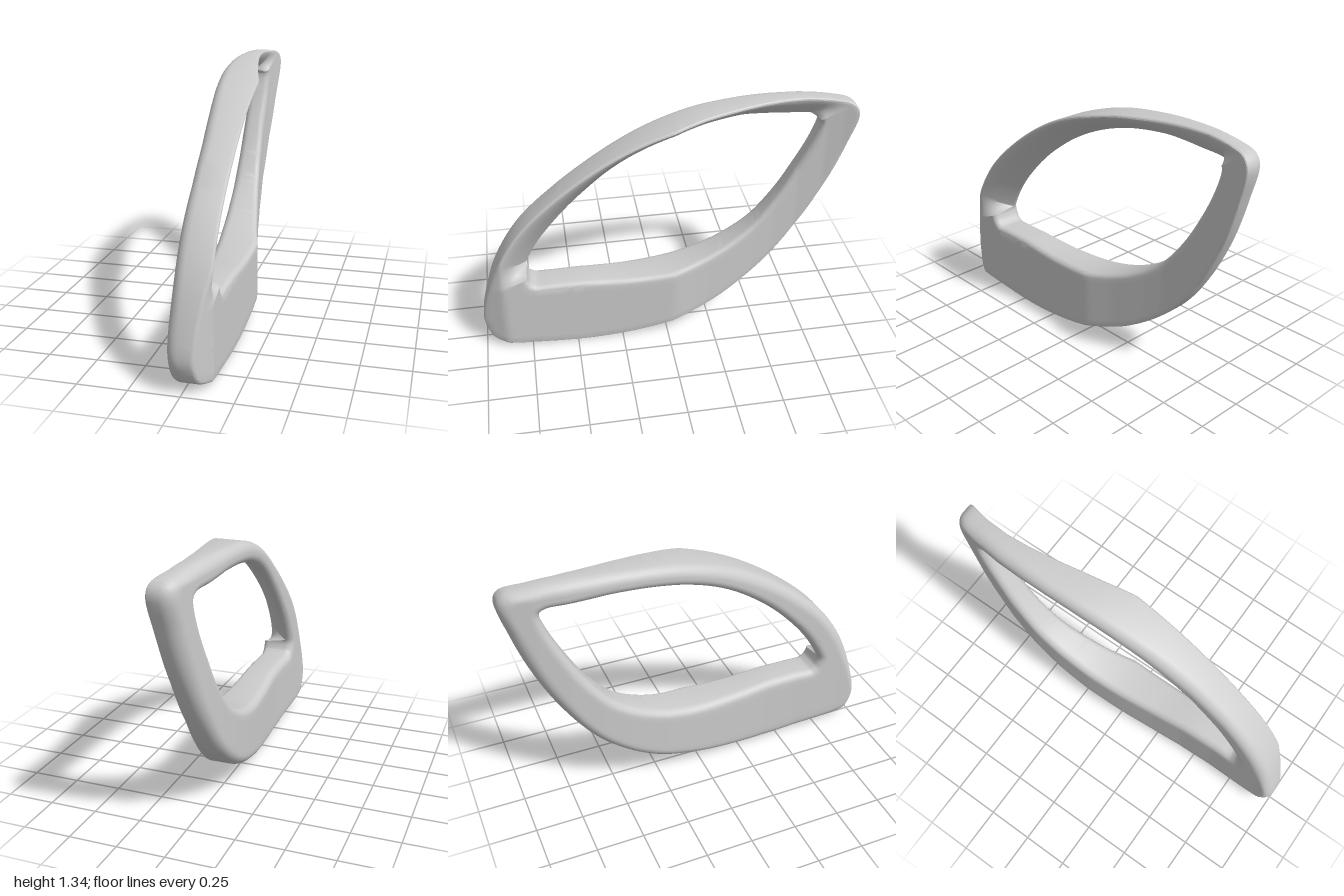
import * as THREE from 'three';
import { toCreasedNormals } from 'three/addons/utils/BufferGeometryUtils.js';

// Paired outlines around the frame: outer z, outer y, inner z, inner y, slanted (1) or flat (0) section
const OUTLINE = [
  // lower front corner
  [0.98, 0.09, 0.73, 0.42, 0], [1, 0.17, 0.74, 0.44, 0], [0.96, 0.37, 0.745, 0.46, 0],
  // upper arch
  [0.89, 0.56, 0.742, 0.48, 1], [0.755, 0.77, 0.65, 0.64, 1], [0.5, 1.0, 0.43, 0.88, 1],
  [0.2, 1.185, 0.16, 1.075, 1], [-0.1, 1.29, -0.1, 1.18, 1], [-0.4, 1.33, -0.4, 1.225, 1],
  [-0.7, 1.338, -0.65, 1.22, 1], [-0.86, 1.325, -0.78, 1.215, 1],
  // upper back corner
  [-0.97, 1.3, -0.81, 1.2, 0], [-1, 1.25, -0.815, 1.18, 0],
  // back edge and lower bar
  [-0.96, 1.08, -0.785, 1.08, 0], [-0.88, 0.85, -0.71, 0.92, 0], [-0.745, 0.585, -0.61, 0.745, 0],
  [-0.56, 0.34, -0.48, 0.585, 0], [-0.29, 0.145, -0.29, 0.465, 0], [0, 0.05, -0.075, 0.4, 0],
  [0.25, 0.01, 0.19, 0.385, 0], [0.46, 0, 0.46, 0.4, 0], [0.7, 0.012, 0.62, 0.4, 0],
  [0.89, 0.03, 0.7, 0.4, 0], [0.955, 0.05, 0.715, 0.408, 0],
];

// Sideways limits of the frame along z
const X_MAX = [[-1, 0.055], [-0.93, 0.033], [-0.85, 0.015], [-0.72, 0.004], [-0.6, 0.011], [-0.5, 0.024],
  [-0.4, 0.042], [-0.2, 0.083], [-0.04, 0.124], [0.88, 0.124], [1, 0.06]];
const X_MIN = [[-1, -0.07], [-0.85, -0.1], [-0.7, -0.118], [-0.55, -0.125], [-0.4, -0.124], [-0.2, -0.115],
  [0, -0.098], [0.2, -0.077], [0.4, -0.06], [0.6, -0.055], [0.9, -0.064], [1, -0.07]];

function lookup(table, z) {
  let i = 1;
  while (i < table.length - 1 && table[i][0] < z) i++;
  const [z0, x0] = table[i - 1], [z1, x1] = table[i];
  return THREE.MathUtils.lerp(x0, x1, THREE.MathUtils.clamp((z - z0) / (z1 - z0), 0, 1));
}

const closedCurve = (a, b) => new THREE.CatmullRomCurve3(
  OUTLINE.map((p) => new THREE.Vector3(0, p[b], p[a])), true, 'centripetal');

// One closed cross-section, from the outer wall over the +x face to the inner wall and back
function crossSection(outer, inner, slant) {
  const L = outer.distanceTo(inner);
  const dir = inner.clone().sub(outer).divideScalar(L);
  const ring = [];
  const put = (d, xAt) => {
    const p = outer.clone().addScaledVector(dir, d);
    p.x = xAt(lookup(X_MIN, p.z), lookup(X_MAX, p.z));
    ring.push(p);
  };
  const rOut = Math.min(0.06, L * 0.5), rIn = Math.min(0.045, L * 0.4);
  const bevel = 0.014, round = 0.03, half = Math.PI / 2;

  // small outer bevel on the +x side
  for (let k = 0; k <= 3; k++) {
    const a = (k / 3) * half;
    put(bevel * (1 - Math.cos(a)), (lo, hi) => hi - bevel * (1 - Math.sin(a)));
  }
  // +x face: flat with a rounded lip on the bar, slanting into the opening on the arch
  const flat = 10, lip = 5;
  for (let k = 1; k <= flat + lip; k++) {
    const q = k / (flat + lip);
    const a = Math.max(0, (k - flat) / lip) * half;
    const dFlat = k <= flat ? THREE.MathUtils.lerp(bevel, L - round, k / flat) : L - round + round * Math.sin(a);
    const dSlant = THREE.MathUtils.lerp(bevel, L, q);
    put(THREE.MathUtils.lerp(dFlat, dSlant, slant), (lo, hi) => THREE.MathUtils.lerp(
      hi - round * (1 - Math.cos(a)),
      hi - (hi - lo - rIn) * Math.pow(q, 1.4), slant));
  }
  // rounded inner edge on the -x side
  for (let k = 0; k <= 6; k++) {
    const a = (k / 6) * half;
    put(L - rIn * (1 - Math.cos(a)), (lo) => lo + rIn * (1 - Math.sin(a)) - (k ? 0 : 0.001));
  }
  // -x face
  for (let k = 1; k < 8; k++) put(THREE.MathUtils.lerp(L - rIn, rOut, k / 8), (lo) => lo);
  // rounded outer edge on the -x side
  for (let k = 0; k <= 7; k++) {
    const a = (k / 7) * half;
    put(rOut * (1 - Math.sin(a)), (lo) => lo + rOut * (1 - Math.cos(a)));
  }
  return ring;
}

function frameGeometry() {
  const outerCurve = closedCurve(0, 1), innerCurve = closedCurve(2, 3);
  const n = OUTLINE.length, rings = n * 10;
  const positions = [], index = [];
  let m = 0;
  for (let i = 0; i < rings; i++) {
    const t = i / rings, s = t * n, k = Math.floor(s);
    const slant = THREE.MathUtils.lerp(OUTLINE[k][4], OUTLINE[(k + 1) % n][4], s - k);
    const ring = crossSection(outerCurve.getPoint(t), innerCurve.getPoint(t), slant);
    m = ring.length;
    ring.forEach((p) => positions.push(p.x, p.y, p.z));
  }
  for (let i = 0; i < rings; i++) {
    for (let j = 0; j < m; j++) {
      const i2 = (i + 1) % rings, j2 = (j + 1) % m;
      const a = i * m + j, b = i2 * m + j, c = i * m + j2, d = i2 * m + j2;
      index.push(a, c, b, b, c, d);
    }
  }
  const geometry = new THREE.BufferGeometry();
  geometry.setAttribute('position', new THREE.Float32BufferAttribute(positions, 3));
  geometry.setIndex(index);
  return toCreasedNormals(geometry, 0.5);
}

export function createModel() {
  const group = new THREE.Group();
  group.name = 'curvedFrame';
  const frame = new THREE.Mesh(frameGeometry(), new THREE.MeshStandardMaterial({ color: 0xcccccc }));
  frame.name = 'frame';
  group.add(frame);
  return group;
}
